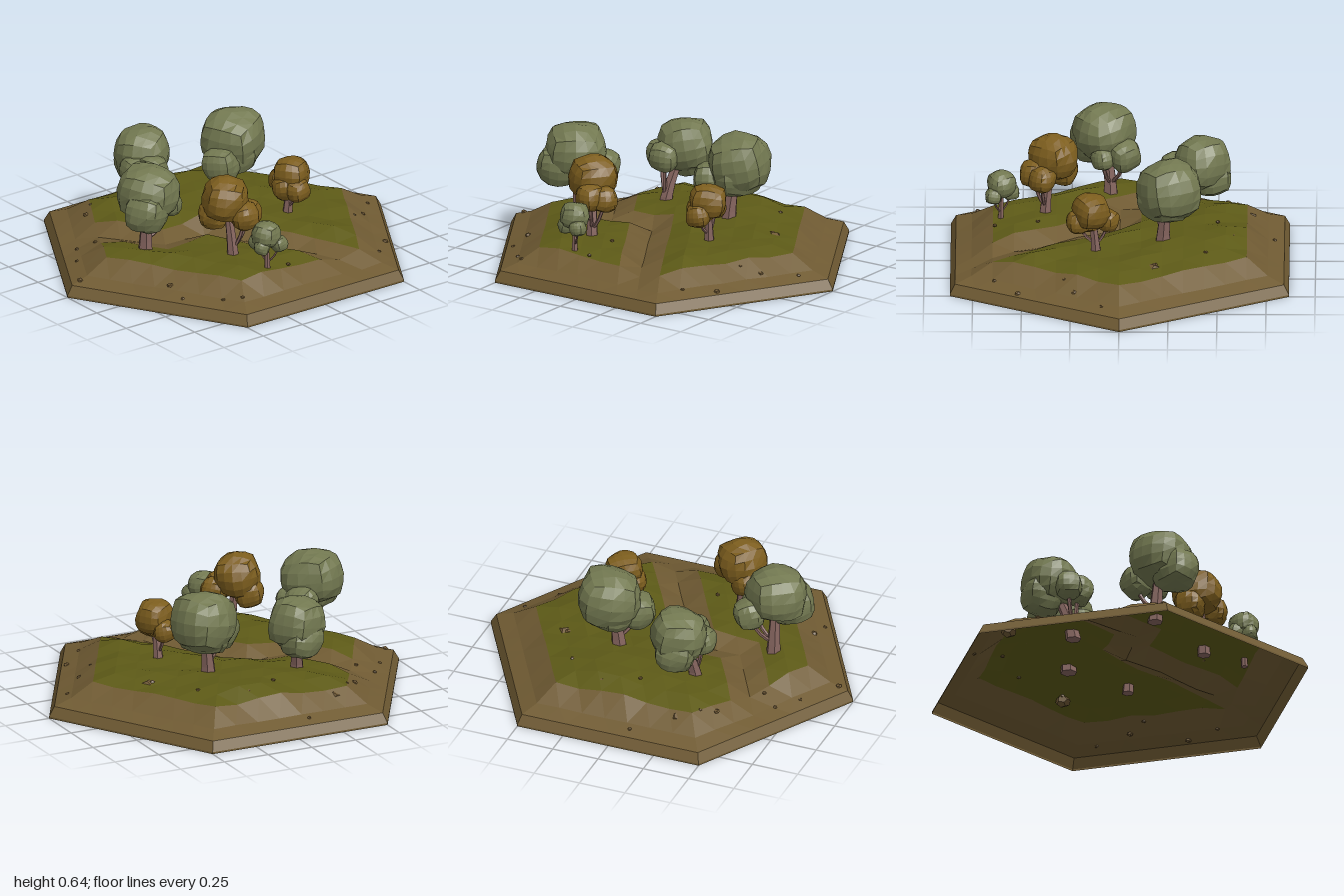
import * as THREE from 'three';

const N = 8, W = Math.sqrt(3) / 2;
const mat = (color, double) => new THREE.MeshStandardMaterial({
  color, flatShading: true, roughness: 1, side: double ? THREE.DoubleSide : THREE.FrontSide });
const DIRT = mat(0x705b33, true), GRASS = mat(0x5d5a17, true), STONE = mat(0x6f5834);
const BARK = mat(0x86655f), GREEN = mat(0x737951), OCHRE = mat(0x7d5e1e);

let seed = 7;
const rnd = () => (seed = (seed * 16807) % 2147483647) / 2147483647;
const clamp = THREE.MathUtils.clamp;

function addMesh(parent, name, geo, material, x = 0, y = 0, z = 0) {
  const m = new THREE.Mesh(geo, material);
  m.name = name;
  m.position.set(x, y, z);
  parent.add(m);
  return m;
}

// Distance from the centre in hexagon radii
const hexDist = (x, z) => Math.max(Math.abs(x), Math.abs(x) / 2 + Math.abs(z) * W) / W;

// The sunken path that crosses the tile
const PATH = [[W, -0.375], [0, 0.125], [0, 0.375], [-W, 0.875]];
function pathDist(x, z) {
  let best = 9;
  for (let i = 0; i < PATH.length - 1; i++) {
    const [ax, az] = PATH[i], dx = PATH[i + 1][0] - ax, dz = PATH[i + 1][1] - az;
    const t = clamp(((x - ax) * dx + (z - az) * dz) / (dx * dx + dz * dz), 0, 1);
    best = Math.min(best, Math.hypot(x - ax - t * dx, z - az - t * dz));
  }
  return best;
}

// Ground height: sloping border, bumpy top with a low hill, path hollow
const SLOPE = [[0, 0.19], [0.63, 0.182], [0.75, 0.16], [0.875, 0.09], [0.97, 0.06], [1.1, 0.06]];
function heightAt(x, z) {
  const d = hexDist(x, z);
  const k = SLOPE.findIndex((s, i) => i > 0 && d <= s[0]);
  const [d0, y0] = SLOPE[k - 1], [d1, y1] = SLOPE[k];
  const base = y0 + (y1 - y0) * (d - d0) / (d1 - d0);
  const inner = clamp((base - 0.07) / 0.1, 0, 1);
  const bumps = 0.014 * Math.sin(x * 27 + z * 11) * Math.cos(z * 23 - x * 9)
    + 0.033 * Math.exp(-((x + 0.45) ** 2 + (z + 0.1) ** 2) * 14);
  const hollow = 0.06 * clamp(1.4 - pathDist(x, z) / 0.1, 0, 1);
  return base + inner * (bumps - hollow);
}

// Triangle lattice divided into grass and bare earth
function buildGround(group) {
  const grass = [], dirt = [];
  const inside = (i, j) => Math.max(Math.abs(i), Math.abs(j), Math.abs(i + j)) <= N;
  const point = ([i, j]) => {
    let x = j * W / N, z = (i + j / 2) / N;
    if (hexDist(x, z) > 0.99) { x *= 0.97; z *= 0.97; }
    return [x, heightAt(x, z), z];
  };
  const face = (...ids) => {
    if (!ids.every(([i, j]) => inside(i, j))) return;
    const p = ids.map(point);
    const cx = (p[0][0] + p[1][0] + p[2][0]) / 3, cz = (p[0][2] + p[1][2] + p[2][2]) / 3;
    const green = hexDist(cx, cz) < 0.75 && pathDist(cx, cz) > 0.108;
    (green ? grass : dirt).push(...p.flat());
  };
  for (let i = -N; i <= N; i++) {
    for (let j = -N; j <= N; j++) {
      face([i, j], [i + 1, j], [i, j + 1]);
      face([i + 1, j], [i + 1, j + 1], [i, j + 1]);
    }
  }
  for (const [name, list, material] of [['grass', grass, GRASS], ['earth', dirt, DIRT]]) {
    const g = new THREE.BufferGeometry();
    g.setAttribute('position', new THREE.Float32BufferAttribute(list, 3));
    g.computeVertexNormals();
    addMesh(group, name, g, material);
  }
  addMesh(group, 'rimBevel', new THREE.CylinderGeometry(0.97, 1, 0.05, 6, 1, true), DIRT, 0, 0.035, 0);
  addMesh(group, 'rimFoot', new THREE.CylinderGeometry(1, 1, 0.01, 6, 1, true), DIRT, 0, 0.005, 0);
}

// Foliage lump: a box swollen towards a sphere, with slight dents
function foliageGeometry(phase) {
  const g = new THREE.BoxGeometry(2, 2, 2, 4, 4, 4);
  const p = g.attributes.position, v = new THREE.Vector3(), s = new THREE.Vector3();
  for (let i = 0; i < p.count; i++) {
    v.fromBufferAttribute(p, i);
    s.set(...v.toArray().map(c => Math.tan(c * Math.PI / 4))).normalize();
    const dent = 1 + 0.06 * Math.sin(s.x * 4 + phase) * Math.cos(s.y * 3 + s.z * 4 + phase * 2);
    v.multiplyScalar(0.15).addScaledVector(s, 0.83).multiplyScalar(dent);
    p.setXYZ(i, v.x, v.y, v.z);
  }
  g.computeVertexNormals();
  return g;
}

// Bent trunk with a flared foot, reaching a little below the ground
function trunkGeometry(from, to, r) {
  const g = new THREE.CylinderGeometry(1, 1, 1, 6, 5);
  const p = g.attributes.position;
  for (let i = 0; i < p.count; i++) {
    const t = p.getY(i) + 0.5;
    const rad = r * (1 + 0.35 * (1 - t) ** 2 - 0.25 * t), bend = t ** 1.5;
    p.setXYZ(i, from.x + (to.x - from.x) * bend + p.getX(i) * rad,
      from.y + (to.y - from.y) * t, from.z + (to.z - from.z) * bend + p.getZ(i) * rad);
  }
  g.computeVertexNormals();
  return g;
}

// foot: [x, z]; lumps: [x, y, z, rx, ry, rz], the first one is the main crown
function buildTree(group, { name, foot, r, leaf, lumps }) {
  const tree = new THREE.Group();
  tree.name = name;
  const ground = heightAt(...foot);
  const from = new THREE.Vector3(foot[0], ground - 0.045, foot[1]);
  const top = new THREE.Vector3(...lumps[0].slice(0, 3));
  addMesh(tree, 'trunk', trunkGeometry(from, top, r), BARK);
  lumps.forEach(([x, y, z, rx, ry = rx, rz = rx], i) => {
    const m = addMesh(tree, i ? 'sideFoliage' : 'crown', foliageGeometry(rnd() * 6), leaf, x, y, z);
    m.scale.set(rx, ry, rz);
    m.rotation.set((rnd() - 0.5) * 0.5, rnd() * 1.5, (rnd() - 0.5) * 0.5);
    if (i < 1 || i > 2) return;
    // Curved branch from the trunk into the first two side lumps
    const start = new THREE.Vector3(foot[0], ground + 0.03, foot[1]);
    const end = new THREE.Vector3(x, y, z);
    const mid = start.clone().lerp(end, 0.8).setY(start.y + (y - start.y) * 0.3);
    const curve = new THREE.QuadraticBezierCurve3(start, mid, end);
    addMesh(tree, 'branch', new THREE.TubeGeometry(curve, 5, r * 0.36, 5), BARK);
  });
  group.add(tree);
}

const TREES = [
  { name: 'backGreenTree', foot: [-0.22, -0.2], r: 0.032, leaf: GREEN, lumps: [
    [-0.25, 0.485, -0.245, 0.165, 0.16, 0.165], [-0.18, 0.395, -0.115, 0.095],
    [-0.235, 0.42, -0.23, 0.14, 0.11, 0.14]] },
  { name: 'backOchreTree', foot: [0.12, -0.315], r: 0.023, leaf: OCHRE, lumps: [
    [0.145, 0.4, -0.325, 0.09, 0.092, 0.1], [0.06, 0.345, -0.31, 0.058],
    [0.21, 0.335, -0.31, 0.065], [0.15, 0.34, -0.28, 0.07]] },
  { name: 'leftGreenTree', foot: [-0.31, 0.26], r: 0.03, leaf: GREEN, lumps: [
    [-0.42, 0.46, 0.205, 0.142, 0.142, 0.145], [-0.285, 0.42, 0.245, 0.08],
    [-0.35, 0.415, 0.31, 0.075], [-0.46, 0.385, 0.21, 0.11, 0.105, 0.11]] },
  { name: 'frontGreenTree', foot: [0.05, 0.54], r: 0.03, leaf: GREEN, lumps: [
    [0.08, 0.5, 0.545, 0.163, 0.145, 0.16], [-0.02, 0.41, 0.435, 0.085],
    [0.09, 0.4, 0.41, 0.06], [0.14, 0.425, 0.6, 0.113, 0.113, 0.125]] },
  { name: 'rightOchreTree', foot: [0.385, 0.23], r: 0.026, leaf: OCHRE, lumps: [
    [0.345, 0.475, 0.25, 0.12, 0.12, 0.13], [0.44, 0.4, 0.2, 0.075],
    [0.4, 0.39, 0.145, 0.07], [0.295, 0.385, 0.29, 0.08]] },
  { name: 'smallGreenTree', foot: [0.61, 0.18], r: 0.014, leaf: GREEN, lumps: [
    [0.605, 0.35, 0.185, 0.075, 0.07, 0.077], [0.648, 0.3, 0.135, 0.043],
    [0.56, 0.3, 0.205, 0.045], [0.625, 0.295, 0.225, 0.042]] },
];

// Pebble places: [x, z]
const PEBBLES = [[-0.18, -0.5], [-0.44, -0.37], [0.09, -0.85], [0.28, -0.62], [0.52, -0.64],
  [0.64, -0.51], [-0.79, 0.09], [-0.6, 0.4], [-0.55, 0.47], [-0.27, 0.62], [-0.32, 0.7],
  [-0.2, 0.79], [0.38, 0.63], [0.5, 0.64], [0.66, 0.5], [0.73, 0.43], [0, 0.92],
  [0.42, 0.08], [0.64, 0.07], [-0.58, -0.15], [0.23, -0.71], [-0.5, 0.03]];
// Larger stones, mostly buried
const BOULDERS = [[-0.17, -0.52], [-0.66, 0.3]];

function addStone(group, name, x, z, r, sink) {
  const m = addMesh(group, name, new THREE.DodecahedronGeometry(r), STONE, x, heightAt(x, z) - sink, z);
  m.scale.y = 0.75;
  m.rotation.y = rnd() * 6;
}

export function createModel() {
  const model = new THREE.Group();
  model.name = 'woodlandTile';
  buildGround(model);
  TREES.forEach(t => buildTree(model, t));
  PEBBLES.forEach(([x, z], i) => addStone(model, 'pebble', x, z, i % 4 ? 0.011 : 0.016, 0));
  BOULDERS.forEach(([x, z]) => addStone(model, 'boulder', x, z, 0.04, 0.022));
  return model;
}
